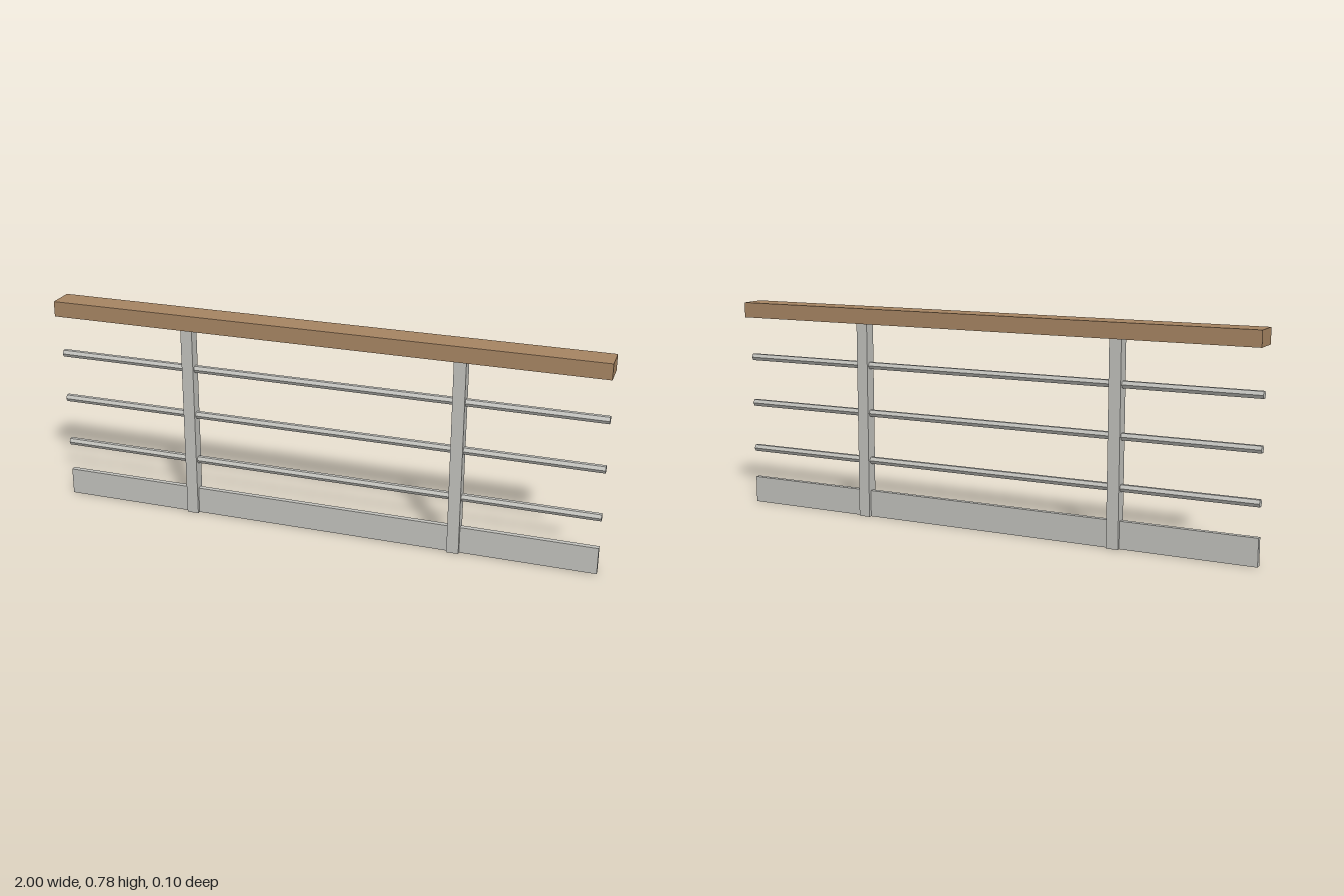
import * as THREE from 'three';

export function createModel() {
  const railing = new THREE.Group();
  railing.name = 'railing';

  const wood = new THREE.MeshStandardMaterial({ color: 0xa58462 });
  wood.name = 'wood';
  const metal = new THREE.MeshStandardMaterial({ color: 0xc0c0bb });
  metal.name = 'metal';

  const add = (name, geometry, material, x, y) => {
    const mesh = new THREE.Mesh(geometry, material);
    mesh.name = name;
    mesh.position.set(x, y, 0);
    railing.add(mesh);
  };

  // Wooden handrail and metal kick plate
  add('handrail', new THREE.BoxGeometry(2, 0.056, 0.098), wood, 0, 0.75);
  add('kickPlate', new THREE.BoxGeometry(2, 0.098, 0.019), metal, 0, 0.049);

  // Square posts
  const post = new THREE.BoxGeometry(0.043, 0.722, 0.043);
  add('leftPost', post, metal, 0.496, 0.361);
  add('rightPost', post, metal, -0.496, 0.361);

  // Six-sided horizontal rods, faceted with flat tops
  const rod = new THREE.CylinderGeometry(0.014, 0.014, 2, 6).rotateZ(Math.PI / 2).toNonIndexed();
  rod.computeVertexNormals();
  ['lowerRod', 'middleRod', 'upperRod'].forEach((name, i) => {
    add(name, rod, metal, 0, 0.212 + i * 0.177);
  });

  return railing;
}
